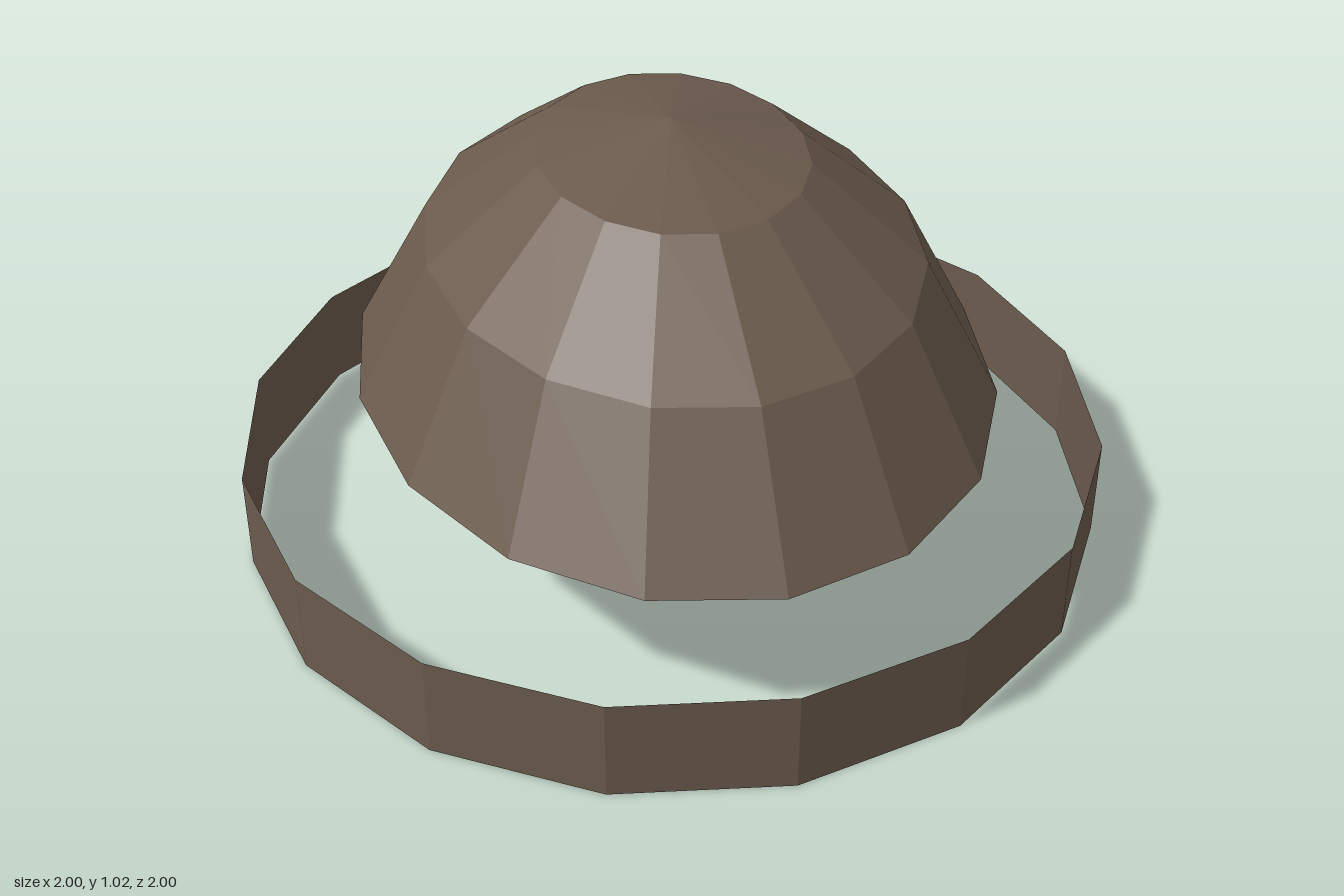
import * as THREE from 'three';

export function createModel() {
  const model = new THREE.Group();
  const brown = new THREE.MeshStandardMaterial({
    color: 0x6b5a4d, flatShading: true, side: THREE.DoubleSide,
  });
  brown.name = 'brown';

  const sides = 16;

  // Oval open shell: the top three rings of a coarse ellipsoid
  const dome = new THREE.Mesh(
    new THREE.SphereGeometry(1, sides, 3, 0, Math.PI * 2, 0, Math.PI * 0.375), brown);
  dome.name = 'dome';
  dome.scale.set(0.78, 0.983, 0.974);
  dome.position.y = 0.036;
  model.add(dome);

  // Thin round band below, open at top and bottom
  const bandHeight = 0.24;
  const band = new THREE.Mesh(
    new THREE.CylinderGeometry(1, 1, bandHeight, sides, 1, true), brown);
  band.name = 'band';
  band.position.y = bandHeight / 2;
  model.add(band);

  return model;
}
